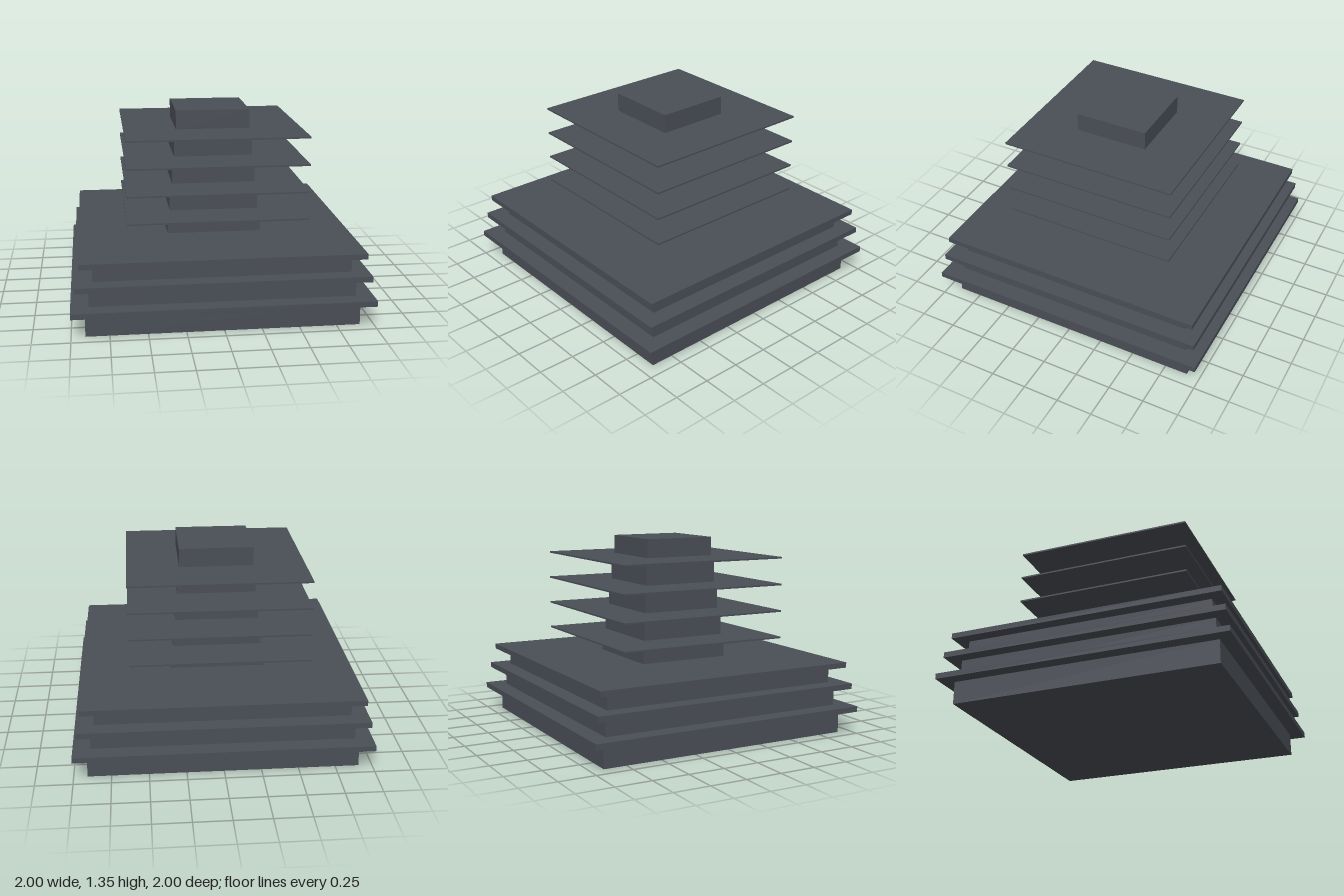
import * as THREE from 'three';

export function createModel() {
  const model = new THREE.Group();
  const slate = new THREE.MeshStandardMaterial({ color: 0x4a4e56 });
  slate.name = 'slate grey';

  // Square slab spanning two heights
  const slab = (name, half, bottom, top) => {
    const mesh = new THREE.Mesh(new THREE.BoxGeometry(half * 2, top - bottom, half * 2), slate);
    mesh.name = name;
    mesh.position.y = (bottom + top) / 2;
    model.add(mesh);
  };

  // Stepped podium: each storey carries an overhanging ledge
  const storeys = [
    { wall: 0.908, ledge: 1.0, bottom: 0, eave: 0.155, top: 0.193 },
    { wall: 0.882, ledge: 0.97, bottom: 0.193, eave: 0.315, top: 0.353 },
    { wall: 0.854, ledge: 0.94, bottom: 0.353, eave: 0.463, top: 0.5 },
  ];
  storeys.forEach((s, i) => {
    slab(`podiumWall${i + 1}`, s.wall, s.bottom, s.eave);
    slab(`podiumLedge${i + 1}`, s.ledge, s.eave, s.top);
  });

  // Tower: tapering core blocks separated by thin wide plates
  const plateThickness = 0.011;
  const coreHalf = [0.325, 0.307, 0.288, 0.271, 0.255];
  let bottom = 0.5;
  coreHalf.forEach((half, i) => {
    const last = i === coreHalf.length - 1;
    const top = last ? 1.35 : 0.648 + i * 0.187;
    slab(`towerCore${i + 1}`, half, bottom, top);
    if (!last) slab(`towerPlate${i + 1}`, 0.614, top, top + plateThickness);
    bottom = top + plateThickness;
  });

  return model;
}
